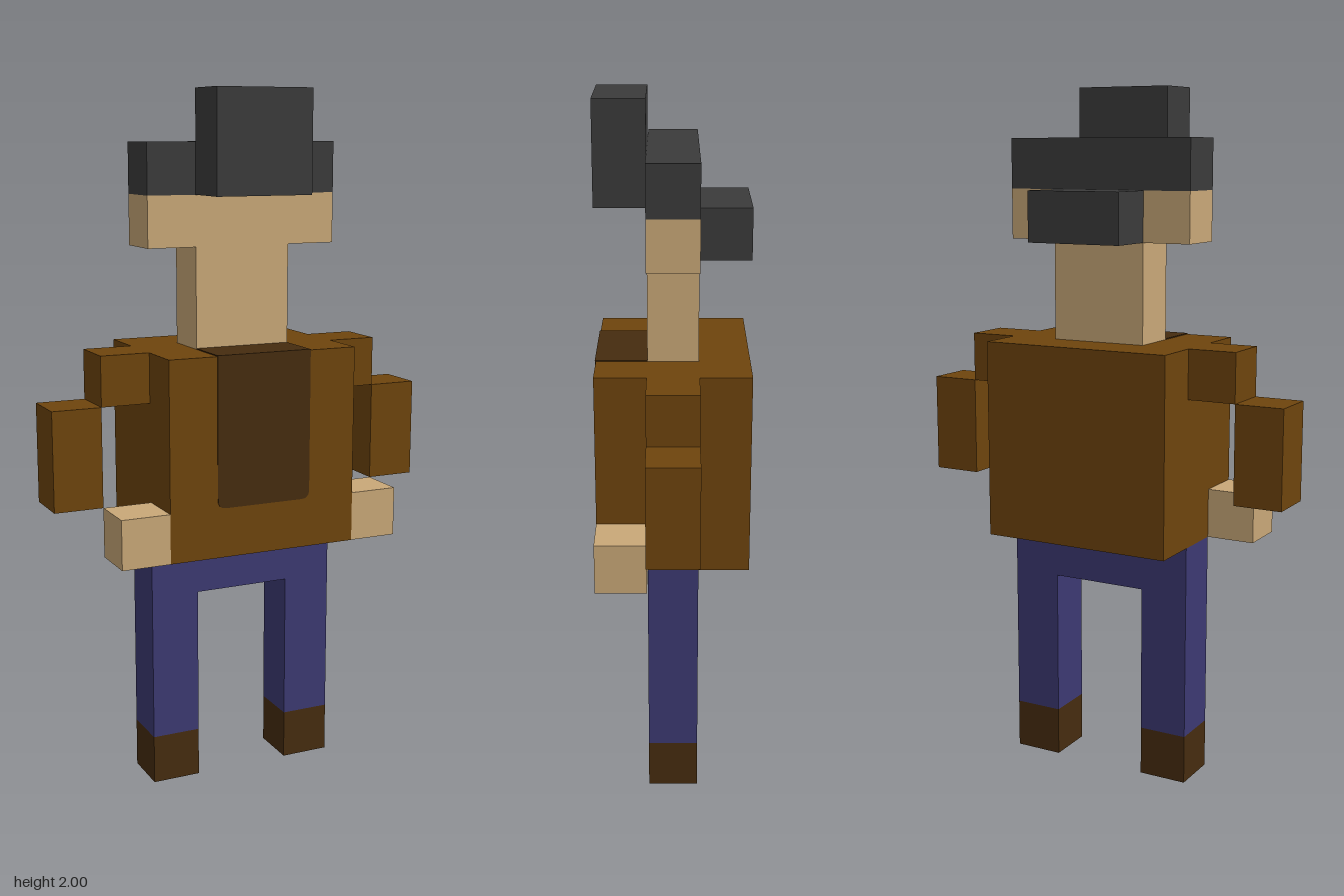
import * as THREE from 'three';

const U = 1 / 7; // edge length of one block

function material(name, color) {
  const m = new THREE.MeshStandardMaterial({ color });
  m.name = name;
  return m;
}

export function createModel() {
  const model = new THREE.Group();
  model.name = 'blockMan';

  const hair = material('hairCharcoal', 0x3b3b3b);
  const skin = material('skinTan', 0xc9a878);
  const jacket = material('jacketBrown', 0x6e440d);
  const dark = material('darkBrown', 0x462c0f);
  const denim = material('trouserBlue', 0x3c3972);

  // Box from its min and max corners, given in blocks
  function block(name, mat, [x0, y0, z0], [x1, y1, z1]) {
    const geometry = new THREE.BoxGeometry((x1 - x0) * U, (y1 - y0) * U, (z1 - z0) * U);
    const mesh = new THREE.Mesh(geometry, mat);
    mesh.position.set((x0 + x1) / 2 * U, (y0 + y1) / 2 * U, (z0 + z1) / 2 * U);
    mesh.name = name;
    model.add(mesh);
  }

  // The same box on the left (+x) and right (-x) side
  function pair(name, mat, [x0, y0, z0], [x1, y1, z1]) {
    block('left' + name, mat, [x0, y0, z0], [x1, y1, z1]);
    block('right' + name, mat, [-x1, y0, z0], [-x0, y1, z1]);
  }

  // Legs
  pair('Shoe', dark, [1, 0, -0.5], [2, 1, 0.5]);
  pair('Leg', denim, [1, 1, -0.5], [2, 4, 0.5]);
  block('hips', denim, [-2, 4, -0.5], [2, 5, 0.5]);

  // Body and arms
  block('torso', jacket, [-2, 5, -1.5], [2, 9, 1.5]);
  pair('Shoulder', jacket, [2, 8, -0.5], [3, 9, 0.5]);
  pair('Arm', jacket, [3, 6, -0.5], [4, 8, 0.5]);
  pair('Hand', skin, [2, 5, 0.5], [3, 6, 1.5]);

  // Shirt panel: front plate with rounded lower corners, and its top edge
  const r = 0.17, s = new THREE.Shape();
  s.moveTo(-1, 9);
  s.lineTo(-1, 6 + r);
  s.quadraticCurveTo(-1, 6, -1 + r, 6);
  s.lineTo(1 - r, 6);
  s.quadraticCurveTo(1, 6, 1, 6 + r);
  s.lineTo(1, 9);
  const plate = new THREE.ExtrudeGeometry(s, { depth: 0.02, bevelEnabled: false, curveSegments: 4 });
  plate.scale(U, U, U);
  const shirt = new THREE.Mesh(plate, dark);
  shirt.position.z = 1.5 * U;
  shirt.name = 'shirtFront';
  model.add(shirt);
  block('shirtTop', dark, [-1, 9, 0.5], [1, 9.02, 1.52]);

  // Head
  block('neck', skin, [-1, 9, -0.5], [1, 11, 0.5]);
  block('head', skin, [-2, 11, -0.5], [2, 12, 0.5]);

  // Hair
  block('hairCrown', hair, [-2, 12, -0.5], [2, 13, 0.5]);
  block('hairQuiff', hair, [-1, 12, 0.5], [1, 14, 1.5]);
  block('hairBack', hair, [-1, 11, -1.5], [1, 12, -0.5]);

  return model;
}
